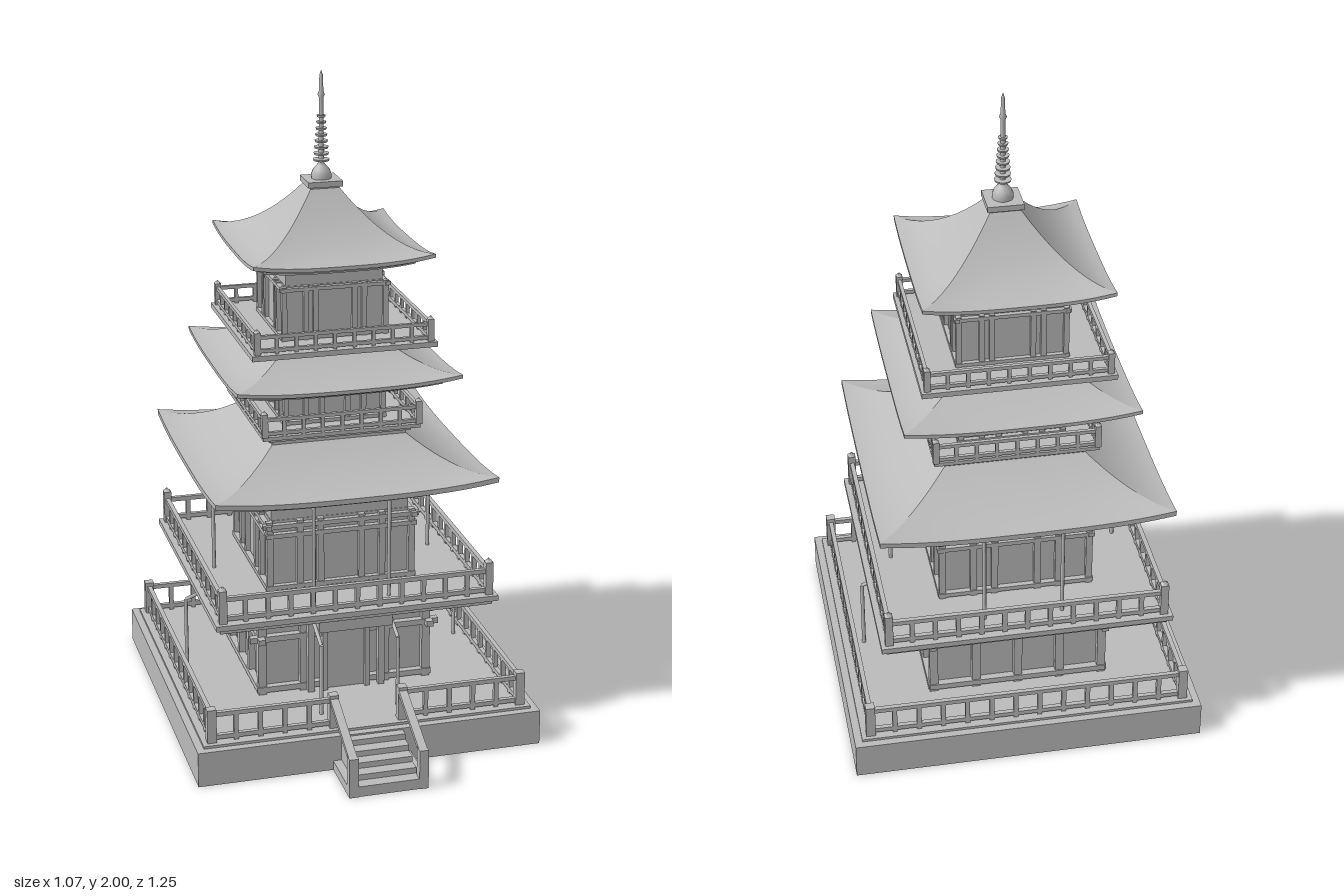
import * as THREE from 'three';
import { toCreasedNormals } from 'three/addons/utils/BufferGeometryUtils.js';

const stone = new THREE.MeshStandardMaterial({ color: 0xbbbbbb });
stone.name = 'plain grey';

function add(parent, name, geometry) {
  const mesh = new THREE.Mesh(geometry, stone);
  mesh.name = name;
  parent.add(mesh);
  return mesh;
}

function group(parent, name) {
  const g = new THREE.Group();
  g.name = name;
  parent.add(g);
  return g;
}

// box given by its limits on each axis
function box(parent, name, x0, x1, y0, y1, z0, z1) {
  const mesh = add(parent, name, new THREE.BoxGeometry(x1 - x0, y1 - y0, z1 - z0));
  mesh.position.set((x0 + x1) / 2, (y0 + y1) / 2, (z0 + z1) / 2);
  return mesh;
}

const slab = (parent, name, h, y0, y1) => box(parent, name, -h, h, y0, y1, -h, h);

const post = (parent, name, x, z, w, y0, y1) =>
  box(parent, name, x - w / 2, x + w / 2, y0, y1, z - w / 2, z + w / 2);

// beam between two points
function beam(parent, name, a, b, w, t = w) {
  const p = new THREE.Vector3(...a), q = new THREE.Vector3(...b);
  const mesh = new THREE.Mesh(new THREE.BoxGeometry(w, t, p.distanceTo(q)), stone);
  mesh.name = name;
  mesh.position.copy(p).add(q).multiplyScalar(0.5);
  mesh.lookAt(q);
  parent.add(mesh);
}

function rod(parent, name, a, b, r) {
  const path = new THREE.LineCurve3(new THREE.Vector3(...a), new THREE.Vector3(...b));
  add(parent, name, new THREE.TubeGeometry(path, 1, r, 8));
}

// four copies of one side, turned about the tower axis
function fourSides(parent, name, build) {
  for (let i = 0; i < 4; i++) {
    const side = group(parent, name);
    side.rotation.y = (i * Math.PI) / 2;
    build(side, i);
  }
}

// straight railing with two rails and evenly spaced balusters
function railing(parent, a, b, y, height, w, spacing) {
  const [ax, az] = a, [bx, bz] = b;
  const n = Math.max(1, Math.round(Math.hypot(bx - ax, bz - az) / spacing));
  const top = y + height;
  beam(parent, 'topRail', [ax, top - w / 2, az], [bx, top - w / 2, bz], w);
  beam(parent, 'lowerRail', [ax, y + w, az], [bx, y + w, bz], w);
  for (let i = 1; i < n; i++) {
    const t = i / n;
    post(parent, 'baluster', ax + (bx - ax) * t, az + (bz - az) * t, w, y, top - w);
  }
}

function balcony(parent, half, y, height, postHeight, w, spacing) {
  fourSides(parent, 'balconyRailing', (side) => {
    railing(side, [-half, half], [half, half], y, height, w, spacing);
    post(side, 'cornerPost', half, half, w * 1.7, y, y + postHeight);
    const cap = add(side, 'postCap', new THREE.ConeGeometry(w * 1.1, w, 4, 1));
    cap.rotation.y = Math.PI / 4;
    cap.position.set(half, y + postHeight + w / 2, half);
  });
}

// timber-framed storey: recessed wall, columns and crossing beams
function storey(parent, half, y0, y1, columns, beams, w) {
  slab(parent, 'wall', half - w * 0.8, y0, y1);
  fourSides(parent, 'wallFrame', (side) => {
    for (const x of columns) post(side, 'column', x, half - w / 2, w, y0, y1);
    post(side, 'cornerColumn', half - w / 2, half - w / 2, w, y0, y1);
    for (const [y, over] of beams)
      box(side, 'crossBeam', -half - over, half + over, y - w * 0.35, y + w * 0.35, half - w * 0.7, half + w * 0.15);
  });
}

// curved square roof: rings of [half width, height, share of corner lift]
function roof(parent, rings, lift) {
  const n = 16, pos = [];
  const at = ([h, y, k], j) => {
    const s = (2 * j) / n - 1;
    return [s * h, y + lift * k * Math.abs(s) ** 3, h];
  };
  for (let i = 0; i + 1 < rings.length; i++) {
    for (let j = 0; j < n; j++) {
      const a = at(rings[i], j), b = at(rings[i], j + 1);
      const c = at(rings[i + 1], j), d = at(rings[i + 1], j + 1);
      pos.push(...a, ...c, ...d, ...a, ...d, ...b);
    }
  }
  const raw = new THREE.BufferGeometry();
  raw.setAttribute('position', new THREE.Float32BufferAttribute(pos, 3));
  raw.computeVertexNormals();
  const geometry = toCreasedNormals(raw, 0.5);
  fourSides(parent, 'roofSide', (side) => add(side, 'roofSlope', geometry));
}

// roof slope samples followed by the stepped eave and soffit
function roofRings(topHalf, topY, eaveHalf, eaveY, power, wallHalf, drop) {
  const rings = [];
  for (let i = 0; i <= 10; i++) {
    const t = i / 10;
    rings.push([topHalf + (eaveHalf - topHalf) * t, eaveY + (topY - eaveY) * (1 - t) ** power, t * t]);
  }
  const e = eaveHalf, y = eaveY, d = drop;
  rings.push([e, y - d * 0.35, 1], [e - d * 0.7, y - d * 0.4, 0.9], [e - d * 0.7, y - d * 0.65, 0.9],
    [e - d * 1.5, y - d * 0.7, 0.6], [e - d * 1.5, y - d, 0.6], [wallHalf, y - d * 0.6, 0]);
  return rings;
}

export function createModel() {
  const model = new THREE.Group();
  model.name = 'pagoda';

  // stone base
  const base = group(model, 'base');
  box(base, 'plinth', -0.533, 0.533, 0, 0.11, -0.625, 0.44);
  box(base, 'plinthTop', -0.51, 0.51, 0.11, 0.118, -0.602, 0.416);

  // base fence with a gap at the stairs
  const fx = 0.481, fb = -0.576, ff = 0.387, fy = 0.118;
  const runs = [[[-fx, fb], [fx, fb]], [[-fx, fb], [-fx, ff]], [[fx, fb], [fx, ff]],
    [[-fx, ff], [-0.107, ff]], [[0.107, ff], [fx, ff]]];
  for (const [a, b] of runs) railing(base, a, b, fy, 0.095, 0.014, 0.075);
  for (const x of [-fx, fx]) for (const z of [fb, ff]) post(base, 'fencePost', x, z, 0.028, fy, 0.225);

  // stairs with sloping handrails
  const stairs = group(model, 'stairs');
  for (let i = 0; i < 5; i++)
    box(stairs, 'step', -0.095, 0.095, 0, 0.105 - i * 0.018, 0.43, 0.468 + i * 0.038);
  for (const x of [-0.107, 0.107]) {
    box(stairs, 'upperPost', x - 0.014, x + 0.014, 0.11, 0.225, 0.373, 0.402);
    box(stairs, 'lowerPost', x - 0.014, x + 0.014, 0, 0.125, 0.592, 0.622);
    beam(stairs, 'handrail', [x, 0.212, 0.39], [x, 0.118, 0.607], 0.026, 0.014);
    box(stairs, 'stringer', x - 0.014, x + 0.014, 0, 0.03, 0.43, 0.6);
  }

  const tower = group(model, 'tower');
  tower.position.z = -0.145;

  // ground storey
  const ground = group(tower, 'groundStorey');
  storey(ground, 0.275, 0.118, 0.42, [-0.13, 0, 0.13], [[0.135, 0], [0.305, 0.025], [0.375, 0.01]], 0.026);
  box(ground, 'doorLintel', -0.115, 0.115, 0.365, 0.42, 0.26, 0.4);
  box(ground, 'doorPanel', -0.06, 0.06, 0.12, 0.36, 0.26, 0.282);
  for (const s of [-1, 1]) {
    box(ground, 'doorJamb', s * 0.067 - 0.008, s * 0.067 + 0.008, 0.118, 0.365, 0.26, 0.295);
    post(ground, 'porchPost', s * 0.112, 0.285, 0.02, 0.118, 0.42);
  }
  box(ground, 'doorHead', -0.075, 0.075, 0.352, 0.367, 0.26, 0.295);

  // slender props with sloping braces
  const props = [[-0.12, 0.445, -0.12, 0.32], [0.12, 0.445, 0.12, 0.32], [-0.443, 0, -0.31, 0], [0.443, 0, 0.31, 0]];
  for (const [x, z, ix, iz] of props) {
    rod(ground, 'prop', [x, 0.118, z], [x, 0.345, z], 0.006);
    rod(ground, 'propBrace', [x, 0.343, z], [ix, 0.395, iz], 0.006);
  }

  // main balcony with ribbed soffit
  const main = group(tower, 'mainBalcony');
  slab(main, 'balconyFloor', 0.44, 0.425, 0.442);
  slab(main, 'balconyEdgeBeam', 0.425, 0.41, 0.425);
  const soffit = add(main, 'soffit', new THREE.CylinderGeometry(0.405 * Math.SQRT2, 0.29 * Math.SQRT2, 0.035, 4).toNonIndexed());
  soffit.geometry.computeVertexNormals();
  soffit.rotation.y = Math.PI / 4;
  soffit.position.y = 0.3955;
  fourSides(main, 'soffitRibs', (side) => {
    for (let i = -6; i <= 6; i++)
      beam(side, 'rib', [i * 0.045, 0.373, 0.285], [i * 0.06, 0.41, 0.412], 0.012);
  });
  balcony(main, 0.415, 0.442, 0.083, 0.105, 0.014, 0.068);

  // second storey and roof posts
  const second = group(tower, 'secondStorey');
  storey(second, 0.235, 0.442, 0.67, [-0.13, -0.065, 0.065, 0.13], [[0.455, 0], [0.625, 0.005], [0.655, 0.012]], 0.02);
  slab(second, 'upperWall', 0.217, 0.67, 0.8);
  for (const s of [-1, 1]) {
    rod(second, 'roofPost', [s * 0.35, 0.44, 0], [s * 0.35, 0.785, 0], 0.006);
    for (const z of [-0.35, 0.35]) rod(second, 'roofPost', [s * 0.118, 0.44, z], [s * 0.118, 0.785, z], 0.006);
  }
  roof(group(tower, 'lowerRoof'), roofRings(0.21, 0.912, 0.435, 0.805, 1.7, 0.2, 0.045), 0.022);

  // third storey
  const third = group(tower, 'thirdStorey');
  slab(third, 'curb', 0.21, 0.9, 0.925);
  slab(third, 'curbStep', 0.222, 0.925, 0.938);
  slab(third, 'balconyFloor', 0.245, 0.938, 0.95);
  balcony(third, 0.24, 0.95, 0.06, 0.073, 0.011, 0.06);
  storey(third, 0.16, 0.95, 1.058, [-0.09, -0.04, 0.04, 0.09], [[0.958, 0], [1.046, 0.008]], 0.016);
  slab(third, 'upperWall', 0.143, 1.058, 1.13);
  roof(group(tower, 'middleRoof'), roofRings(0.18, 1.18, 0.345, 1.112, 1.6, 0.135, 0.032), 0.018);

  // fourth storey
  const fourth = group(tower, 'fourthStorey');
  slab(fourth, 'curb', 0.19, 1.16, 1.188);
  slab(fourth, 'curbStep', 0.225, 1.188, 1.204);
  slab(fourth, 'balconyFloor', 0.284, 1.204, 1.22);
  balcony(fourth, 0.266, 1.22, 0.058, 0.068, 0.011, 0.06);
  storey(fourth, 0.165, 1.22, 1.387, [-0.09, -0.06, 0.06, 0.09], [[1.228, 0], [1.378, 0.006]], 0.016);
  slab(fourth, 'upperWall', 0.15, 1.387, 1.48);
  roof(group(tower, 'topRoof'), roofRings(0.045, 1.65, 0.276, 1.472, 1.75, 0.14, 0.032), 0.018);

  // ridge cap and spire
  const spire = group(tower, 'spire');
  slab(spire, 'capBlock', 0.045, 1.635, 1.66);
  slab(spire, 'capPlate', 0.053, 1.655, 1.672);
  const profile = [[0.03, 1.67], [0.031, 1.685], [0.025, 1.7], [0.014, 1.712], [0.008, 1.72], [0.007, 1.86],
    [0.007, 1.918], [0.011, 1.926], [0.007, 1.936], [0.005, 1.985], [0, 2]];
  add(spire, 'mast', new THREE.LatheGeometry(profile.map(([r, y]) => new THREE.Vector2(r, y)), 16));
  for (let i = 0; i < 8; i++) {
    const ring = add(spire, 'mastRing', new THREE.CylinderGeometry(0.025 - i * 0.0016, 0.023 - i * 0.0016, 0.006, 16));
    ring.position.y = 1.728 + i * 0.019;
  }
  return model;
}
